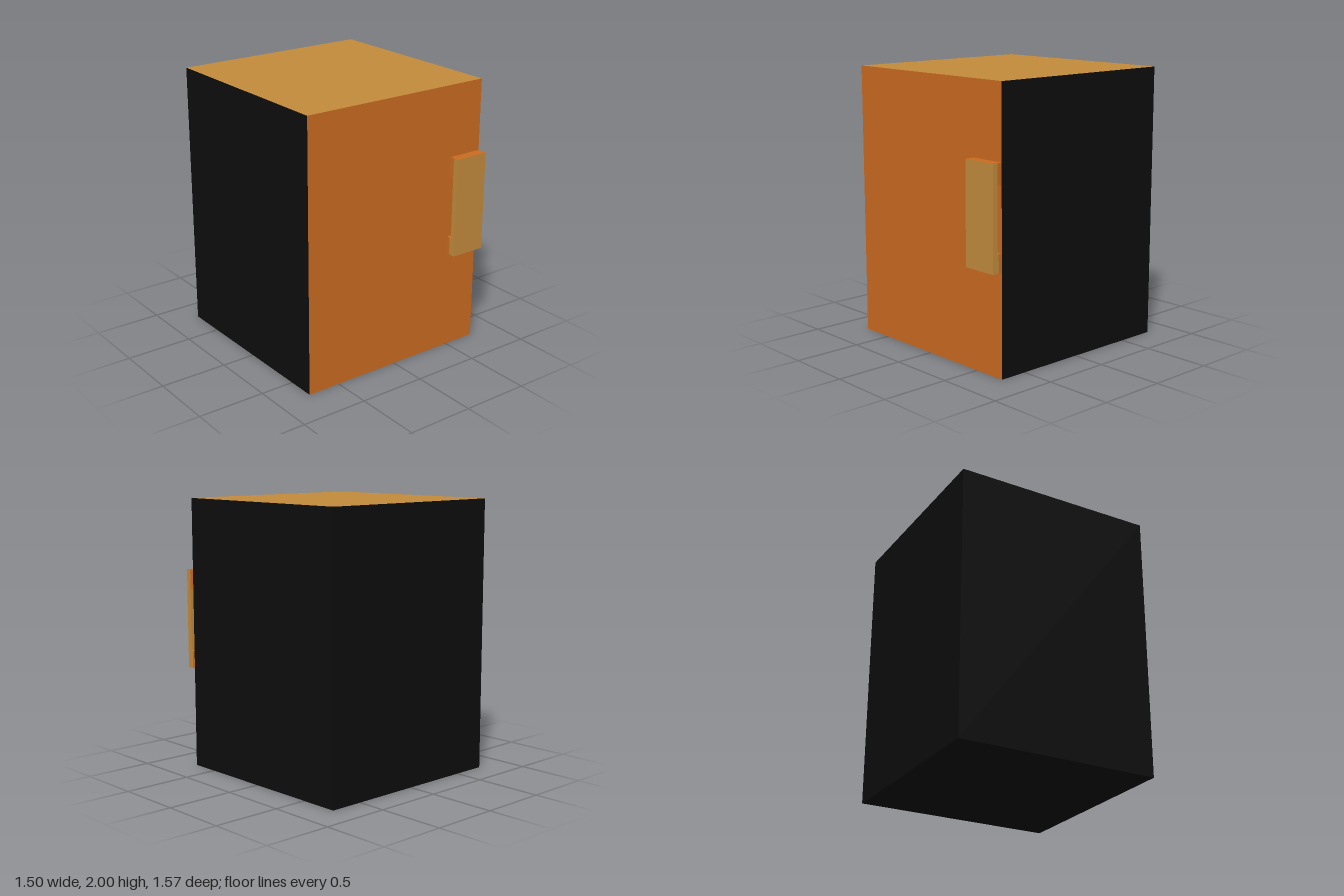
import * as THREE from 'three';

export function createModel() {
  const model = new THREE.Group();
  const paint = (name, color) => {
    const m = new THREE.MeshStandardMaterial({ color });
    m.name = name;
    return m;
  };
  const orange = paint('orange', 0xc96a20);
  const tan = paint('tan', 0xc08a3b);
  const black = paint('black', 0x0d0d0d);

  // box between two corners; materials run right to back: +x -x +y -y +z -z
  const block = (name, [x0, y0, z0], [x1, y1, z1], material, parent) => {
    const mesh = new THREE.Mesh(new THREE.BoxGeometry(x1 - x0, y1 - y0, z1 - z0), material);
    mesh.position.set((x0 + x1) / 2, (y0 + y1) / 2, (z0 + z1) / 2);
    mesh.name = name;
    parent.add(mesh);
  };

  // cabinet with an orange door face and a tan top
  block('cabinet', [-0.75, 0, -0.787], [0.75, 2, 0.711],
    [black, black, tan, black, orange, black], model);

  // handle: a flat grip in two pieces, held off the door by two posts
  const handle = new THREE.Group();
  handle.name = 'handle';
  model.add(handle);
  block('gripCap', [0.48, 1.327, 0.748], [0.748, 1.475, 0.787],
    [tan, tan, orange, tan, tan, tan], handle);
  block('grip', [0.48, 0.74, 0.748], [0.748, 1.327, 0.787], tan, handle);
  block('upperPost', [0.48, 1.327, 0.711], [0.748, 1.475, 0.748], orange, handle);
  block('lowerPost', [0.48, 0.74, 0.711], [0.748, 0.872, 0.736], orange, handle);
  block('lowerPostEnd', [0.48, 0.74, 0.736], [0.748, 0.872, 0.748], tan, handle);

  return model;
}
